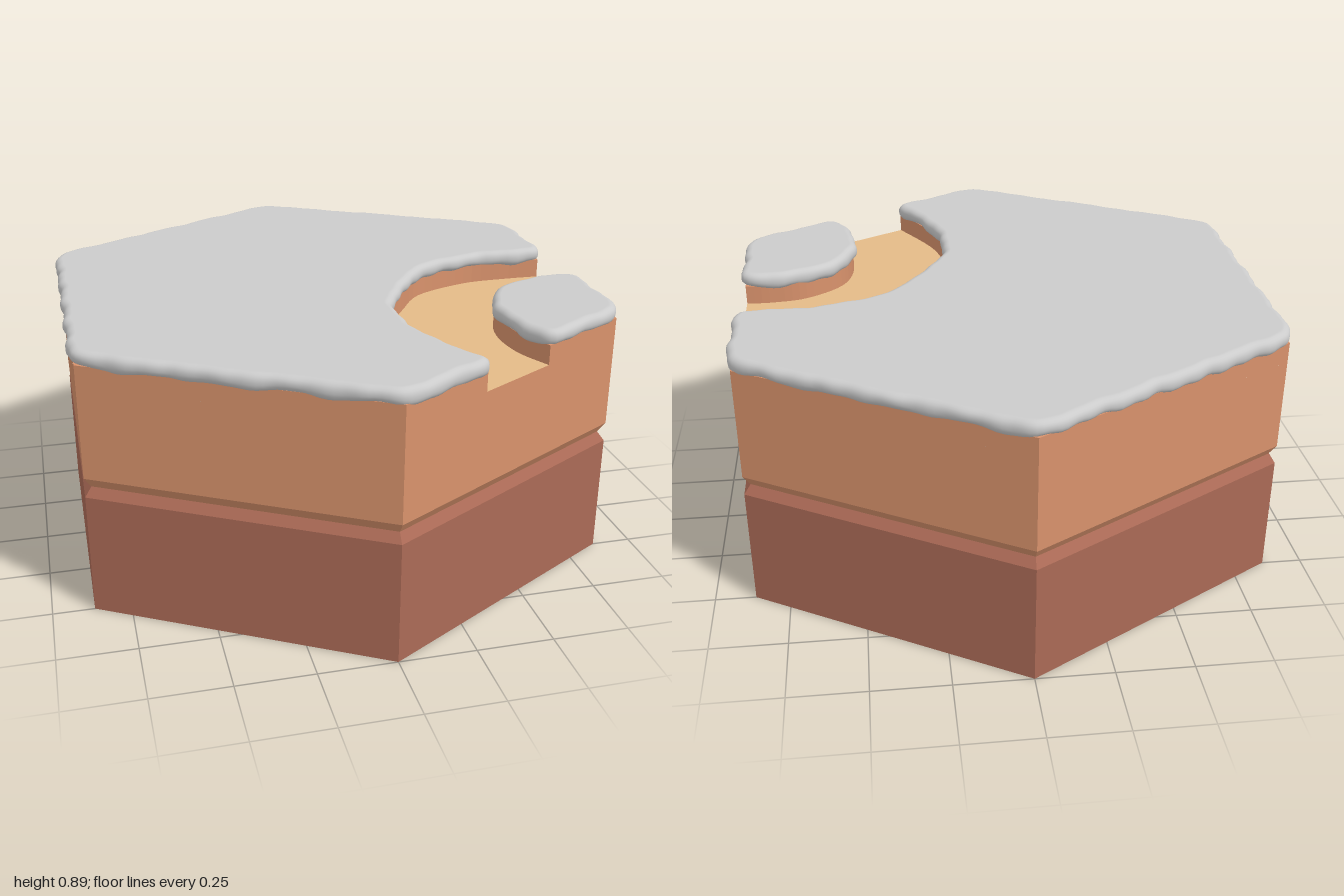
import * as THREE from 'three';
import { mergeVertices } from 'three/addons/utils/BufferGeometryUtils.js';

const FLOOR = 0.78, SOIL_TOP = 0.845, SNOW_BOTTOM = 0.835, SNOW_TOP = 0.89;
const HX = 0.866;

// Ground-plan point: shapes are drawn in x / -z and then laid flat.
const P = (x, z) => new THREE.Vector2(x, -z);
const plan = (list) => list.map(([x, z]) => P(x, z));
const material = (color, extra = {}) => new THREE.MeshStandardMaterial({ color, ...extra });

// Banks of the path that curves round one corner, from the side edge to the front edge.
const outerBank = new THREE.SplineCurve(plan([
  [HX, -0.15], [0.72, -0.15], [0.57, -0.135], [0.375, -0.05], [0.27, 0.09],
  [0.185, 0.23], [0.15, 0.38], [0.185, 0.6], [0.302, 0.826],
])).getSpacedPoints(40);
const innerBank = new THREE.SplineCurve(plan([
  [HX, 0.15], [0.78, 0.15], [0.66, 0.175], [0.54, 0.27], [0.495, 0.4], [0.505, 0.55], [0.56, 0.677],
])).getSpacedPoints(30);

const mainOutline = [
  ...outerBank,
  ...plan([[0, 1], [-HX, 0.5], [-HX, -0.5], [0, -1], [HX, -0.5]]),
];
const cornerOutline = [...innerBank, P(HX, 0.5)];

function addMesh(group, name, geometry, mat) {
  const mesh = new THREE.Mesh(geometry, mat);
  mesh.name = name;
  group.add(mesh);
}

// Six-sided solid turned from a profile
function hexSolid(profile) {
  return new THREE.LatheGeometry(profile.map(([r, y]) => new THREE.Vector2(r, y)), 6);
}

// Straight-walled raised ground
function soilBlock(outline) {
  return new THREE.ExtrudeGeometry(new THREE.Shape(outline), {
    depth: SOIL_TOP - FLOOR, bevelEnabled: false,
  }).rotateX(-Math.PI / 2).translate(0, FLOOR, 0);
}

// Soft slab with a rounded, slightly ragged rim
function snowSlab(outline, bareSpots = []) {
  const path = new THREE.Path().setFromPoints([...outline, outline[0]]);
  let pts = path.getSpacedPoints(Math.round(path.getLength() / 0.02)).slice(0, -1);
  const n = pts.length;
  for (let pass = 0; pass < 3; pass++) {
    pts = pts.map((p, i) => pts[(i + n - 1) % n].clone().add(pts[(i + 1) % n])
      .multiplyScalar(0.25).addScaledVector(p, 0.5));
  }
  pts = pts.map((p) => new THREE.Vector2(
    p.x + 0.004 * Math.sin(31 * p.y + 9 * p.x) + 0.002 * Math.sin(67 * p.y),
    p.y + 0.004 * Math.sin(29 * p.x + 11 * p.y) + 0.002 * Math.sin(71 * p.x),
  ));
  const shape = new THREE.Shape(pts);
  for (const [x, z, r] of bareSpots) {
    shape.holes.push(new THREE.Path().absellipse(x, -z, r * 1.3, r, 0, Math.PI * 2, true, 0.5));
  }
  const bevel = 0.024;
  let geo = new THREE.ExtrudeGeometry(shape, {
    depth: SNOW_TOP - SNOW_BOTTOM - 2 * bevel, curveSegments: 5,
    bevelThickness: bevel, bevelSize: 0.027, bevelOffset: -0.015, bevelSegments: 5,
  }).rotateX(-Math.PI / 2).translate(0, SNOW_BOTTOM + bevel, 0);
  geo.deleteAttribute('uv');
  geo.deleteAttribute('normal');
  geo = mergeVertices(geo, 1e-5);

  // Wavy lower edge
  const pos = geo.attributes.position;
  const isTop = [];
  for (let i = 0; i < pos.count; i++) {
    const x = pos.getX(i), y = pos.getY(i), z = pos.getZ(i);
    isTop.push(y > SNOW_TOP - 1e-4);
    const low = (SNOW_TOP - y) / (SNOW_TOP - SNOW_BOTTOM);
    pos.setY(i, y + low * (0.004 * Math.sin(19 * x + 23 * z) + 0.003 * Math.sin(47 * x - 41 * z)));
  }
  geo.computeVertexNormals();
  // Keep the flat top evenly shaded
  isTop.forEach((top, i) => top && geo.attributes.normal.setXYZ(i, 0, 1, 0));
  return geo;
}

export function createModel() {
  const model = new THREE.Group();
  model.name = 'snowyHexTile';
  const clay = material(0xab6a56, { flatShading: true });
  const soil = material(0xd8926c, { flatShading: true });
  const sand = material(0xe4ba87);
  const snow = material(0xcccccc);

  // Two body layers meeting in a V groove
  addMesh(model, 'lowerLayer', hexSolid([[0, 0], [1, 0], [1, 0.405], [0.975, 0.435]]), clay);
  addMesh(model, 'upperLayer', hexSolid([[0.975, 0.435], [1, 0.47], [1, FLOOR]]), soil);

  // Sunken path floor
  const floor = new THREE.ShapeGeometry(new THREE.Shape([...outerBank, ...[...innerBank].reverse()]));
  addMesh(model, 'pathFloor', floor.rotateX(-Math.PI / 2).translate(0, FLOOR, 0), sand);

  // Raised ground on both sides of the path, each under its own snow
  addMesh(model, 'mainGround', soilBlock(mainOutline), soil);
  addMesh(model, 'cornerGround', soilBlock(cornerOutline), soil);
  addMesh(model, 'mainSnow', snowSlab(mainOutline, [[-0.04, 0.25, 0.016]]), snow);
  addMesh(model, 'cornerSnow', snowSlab(cornerOutline), snow);
  return model;
}
